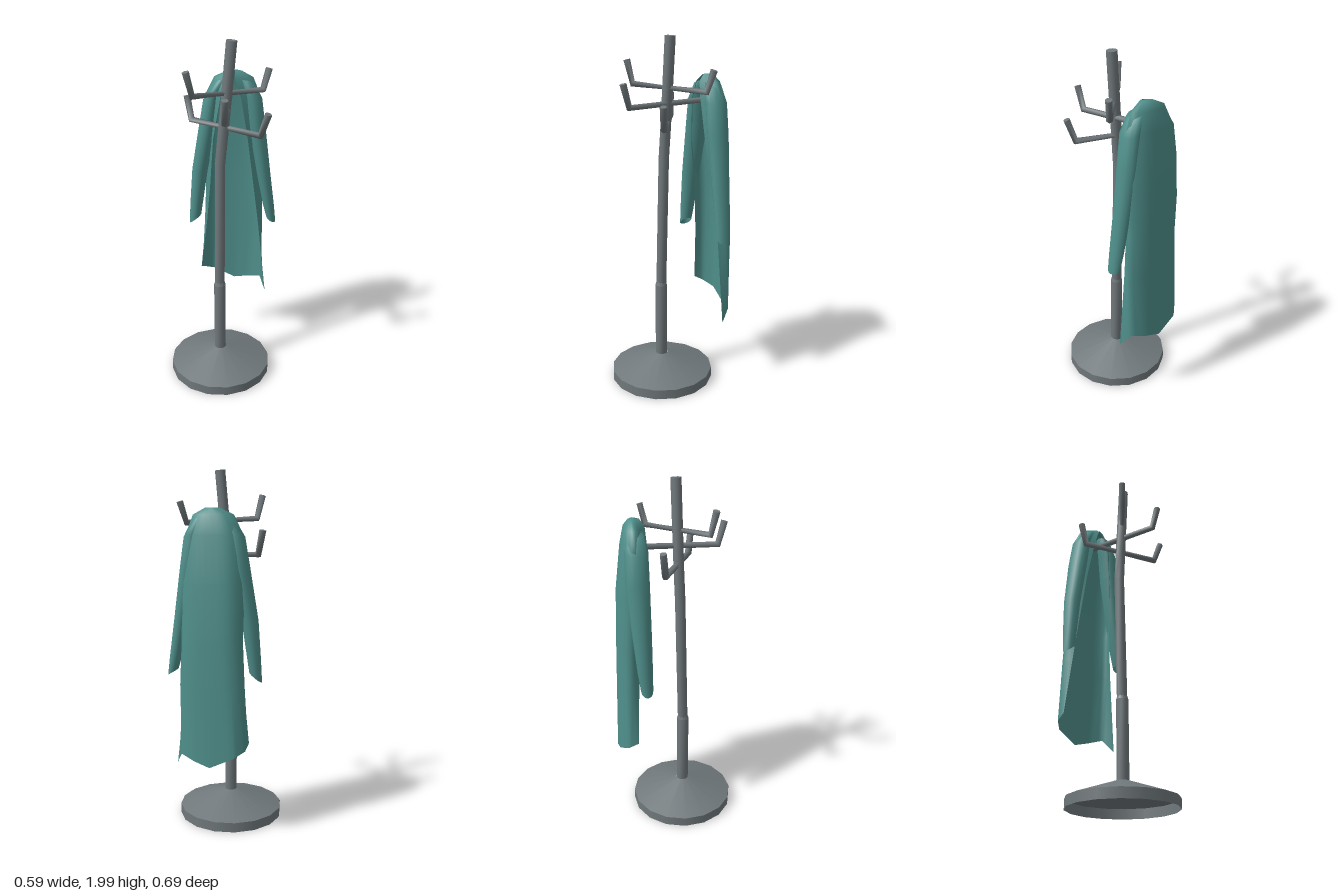
import * as THREE from 'three';

const metal = new THREE.MeshStandardMaterial({ color: 0x70787b, side: THREE.DoubleSide });
metal.name = 'grey metal';
const cloth = new THREE.MeshStandardMaterial({ color: 0x4f8f8b, side: THREE.DoubleSide });
cloth.name = 'teal cloth';

const V = (x, y, z) => new THREE.Vector3(x, y, z);

function add(group, name, geometry, material) {
  const mesh = new THREE.Mesh(geometry, material);
  mesh.name = name;
  group.add(mesh);
  return mesh;
}

// Skin a list of equally long rows of points
function loft(rows, closed) {
  const n = rows[0].length, pos = [], idx = [];
  rows.forEach(r => r.forEach(p => pos.push(p.x, p.y, p.z)));
  for (let i = 0; i < rows.length - 1; i++) {
    for (let j = 0; j < (closed ? n : n - 1); j++) {
      const a = i * n + j, b = i * n + (j + 1) % n;
      idx.push(a, a + n, b, b, a + n, b + n);
    }
  }
  const g = new THREE.BufferGeometry();
  g.setAttribute('position', new THREE.Float32BufferAttribute(pos, 3));
  g.setIndex(idx);
  g.computeVertexNormals();
  return g;
}

// Round bar along a bent path with mitred joints and flat end caps
function bar(group, name, path, radius, sides) {
  const dirs = path.slice(1).map((p, i) => p.clone().sub(path[i]).normalize());
  const side = V(0, 1, 0).cross(dirs[0]);
  if (side.length() < 0.3) side.set(1, 0, 0);
  const rings = path.map((p, i) => {
    const t = dirs[Math.max(i - 1, 0)].clone().add(dirs[Math.min(i, dirs.length - 1)]).normalize();
    const u = side.clone().addScaledVector(t, -side.dot(t)).normalize();
    const w = t.clone().cross(u);
    return Array.from({ length: sides }, (_, k) => {
      const a = k / sides * Math.PI * 2;
      return p.clone().addScaledVector(u, -Math.cos(a) * radius).addScaledVector(w, Math.sin(a) * radius);
    });
  });
  add(group, name, loft(rings, true), metal);
  [0, path.length - 1].forEach(i => {
    const centre = rings[i].map(() => path[i]);
    add(group, name + 'Cap', loft(i ? [rings[i], centre] : [centre, rings[i]], true), metal);
  });
}

function makeStand() {
  const stand = new THREE.Group();
  stand.name = 'stand';

  // Hollow base: upright rim and shallow cone
  const start = THREE.MathUtils.degToRad(17);
  const rim = new THREE.CylinderGeometry(0.298, 0.298, 0.055, 16, 1, true, start);
  add(stand, 'baseRim', rim, metal).position.set(0, 0.0275, 0.047);
  const cone = new THREE.CylinderGeometry(0.034, 0.298, 0.09, 16, 1, true, start);
  add(stand, 'baseCone', cone, metal).position.set(0, 0.1, 0.047);

  // Thick lower sleeve and the leaning pole
  const collar = new THREE.CylinderGeometry(0.028, 0.034, 0.02, 10, 1, true);
  add(stand, 'sleeveCollar', collar, metal).position.set(-0.003, 0.59, 0.049);
  bar(stand, 'lowerPole', [V(0, 0.13, 0.05), V(-0.003, 0.58, 0.05)], 0.034, 10);
  bar(stand, 'upperPole', [V(-0.003, 0.57, 0.049), V(-0.004, 1.33, 0.031), V(0.012, 1.5, 0.026),
    V(0.054, 1.99, 0.016)], 0.029, 10);

  // Three crossing bars with upturned ends
  const arms = [
    [V(-0.205, 1.67, -0.09), V(-0.178, 1.54, -0.075), V(0.222, 1.527, 0.115), V(0.262, 1.65, 0.135)],
    [V(-0.152, 1.86, 0.188), V(-0.125, 1.732, 0.165), V(0.205, 1.708, -0.128), V(0.234, 1.82, -0.155)],
    [V(0.06, 1.75, 0.28), V(0.052, 1.625, 0.245), V(0.012, 1.645, -0.19), V(0.012, 1.745, -0.215)],
  ];
  arms.forEach(p => bar(stand, 'hookArm', p, 0.019, 6));
  return stand;
}

function makeCoat() {
  const coat = new THREE.Group();
  coat.name = 'coat';

  // Body wrapped round the back, front edges parting downwards:
  // y, left side, right side, back z, front z, front edge left, front edge right
  const sections = [
    [1.785, 0.0, 0.08, -0.245, -0.18, 0.035, 0.045],
    [1.75, -0.075, 0.145, -0.268, -0.155, 0.01, 0.05],
    [1.65, -0.125, 0.185, -0.288, -0.148, -0.03, 0.085],
    [1.4, -0.14, 0.205, -0.316, -0.165, -0.075, 0.125],
    [1.1, -0.135, 0.2, -0.326, -0.2, -0.1, 0.16],
    [0.85, -0.145, 0.208, -0.332, -0.22, -0.125, 0.19],
  ];
  const smooth = (pts, tension = 0.5) =>
    new THREE.CatmullRomCurve3(pts, false, 'catmullrom', tension).getPoints(18);
  const rows = sections.map(([y, l, r, zb, zf, el, er]) => {
    const w = r - l, zm = zb * 0.5 + zf * 0.5;
    return smooth([V(el, y, zf), V(l, y, zm), V(l + w * 0.17, y, zb + 0.008), V(l + w * 0.48, y, zb),
      V(r - w * 0.2, y, zb + 0.015), V(r, y, zm), V(er, y, zf)]);
  });
  rows.unshift(rows[0].map(() => V(0.04, 1.787, -0.212)));
  // Uneven hem
  rows.push(smooth([V(-0.165, 0.53, -0.235), V(-0.155, 0.5, -0.29), V(-0.1, 0.47, -0.335), V(0.03, 0.41, -0.342),
    V(0.12, 0.435, -0.325), V(0.2, 0.46, -0.29), V(0.24, 0.39, -0.235)], 0));
  add(coat, 'coatBody', loft(rows, false), cloth);

  // Hanging sleeves: x, y, z, half width, half depth, cuff slope
  const sleeve = (name, spine) => {
    const rings = spine.map(([x, y, z, rx, rz, slope]) => Array.from({ length: 12 }, (_, k) => {
      const a = -k / 12 * Math.PI * 2;
      return V(x + Math.cos(a) * rx, y + Math.cos(a) * rx * slope, z + Math.sin(a) * rz);
    }));
    rings.unshift(rings[0].map(() => V(spine[0][0], spine[0][1] + 0.012, spine[0][2])));
    add(coat, name, loft(rings, true), cloth);
  };
  sleeve('rightSleeve', [
    [-0.04, 1.735, -0.21, 0.045, 0.045, 0.4],
    [-0.085, 1.65, -0.212, 0.05, 0.062, 0.3],
    [-0.112, 1.48, -0.212, 0.05, 0.064, 0],
    [-0.16, 1.2, -0.2, 0.046, 0.052, 0],
    [-0.18, 1.0, -0.19, 0.039, 0.042, 0.2],
    [-0.189, 0.89, -0.183, 0.036, 0.034, 0.8],
  ]);
  sleeve('leftSleeve', [
    [0.11, 1.735, -0.21, 0.045, 0.045, -0.4],
    [0.145, 1.65, -0.212, 0.05, 0.06, -0.3],
    [0.168, 1.48, -0.215, 0.048, 0.06, 0],
    [0.212, 1.2, -0.217, 0.04, 0.05, 0],
    [0.246, 1.0, -0.217, 0.034, 0.044, -0.2],
    [0.264, 0.905, -0.217, 0.028, 0.039, -0.6],
  ]);
  return coat;
}

export function createModel() {
  const model = new THREE.Group();
  model.name = 'coatStand';
  model.add(makeStand(), makeCoat());
  return model;
}
